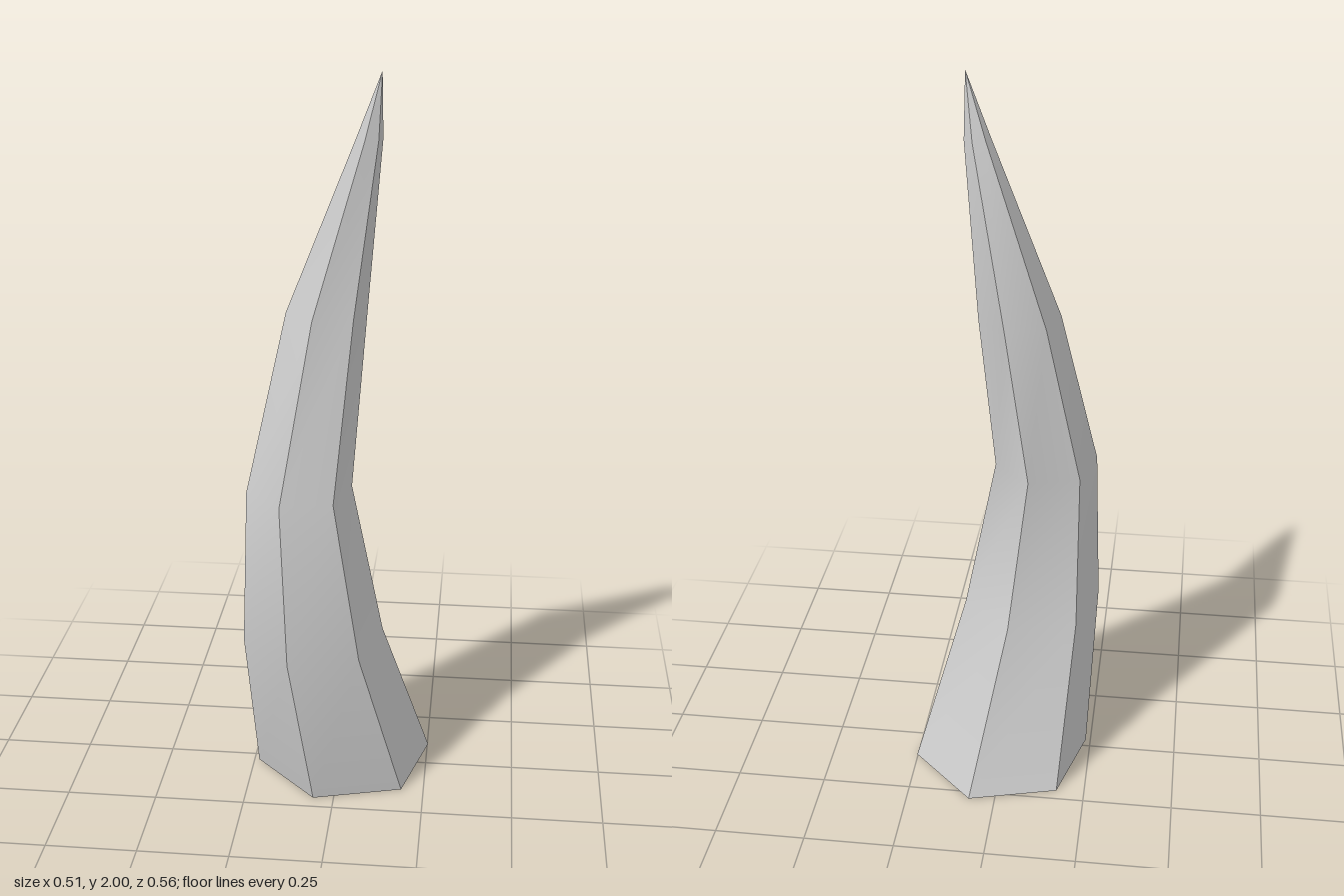
import * as THREE from 'three';
import { toCreasedNormals } from 'three/addons/utils/BufferGeometryUtils.js';

const SIDES = 6;

// Centre line and radius of each ring: [x, y, z, radius]
const RINGS = [
  [0.008, 0, -0.036, 0.253],
  [-0.066, 0.46, 0.092, 0.195],
  [-0.101, 0.9, 0.1, 0.143],
  [-0.036, 1.37, 0, 0.109],
  [0.076, 1.83, 0.034, 0.035],
];
const TIP = [0.108, 2, 0.05];

// Six-sided tapering skin through the rings, closed at the tip and open at the base
function hornGeometry() {
  const positions = [];
  const index = [];
  for (const [x, y, z, r] of RINGS) {
    for (let i = 0; i < SIDES; i++) {
      const a = Math.PI / 4 + (i / SIDES) * Math.PI * 2;
      positions.push(x + r * Math.cos(a), y, z + r * Math.sin(a));
    }
  }
  const tip = positions.length / 3;
  positions.push(...TIP);

  for (let k = 0; k < RINGS.length; k++) {
    for (let i = 0; i < SIDES; i++) {
      const a = k * SIDES + i;
      const b = k * SIDES + ((i + 1) % SIDES);
      if (k === RINGS.length - 1) index.push(a, tip, b);
      else index.push(a, a + SIDES, b, b, a + SIDES, b + SIDES);
    }
  }

  const geometry = new THREE.BufferGeometry();
  geometry.setAttribute('position', new THREE.Float32BufferAttribute(positions, 3));
  geometry.setIndex(index);
  // Smooth along the length, sharp along the six ridges
  return toCreasedNormals(geometry, 0.7);
}

export function createModel() {
  const group = new THREE.Group();
  group.name = 'curvedHorn';
  const material = new THREE.MeshStandardMaterial({ color: 0xcccccc, side: THREE.DoubleSide });
  const horn = new THREE.Mesh(hornGeometry(), material);
  horn.name = 'horn';
  group.add(horn);
  return group;
}
